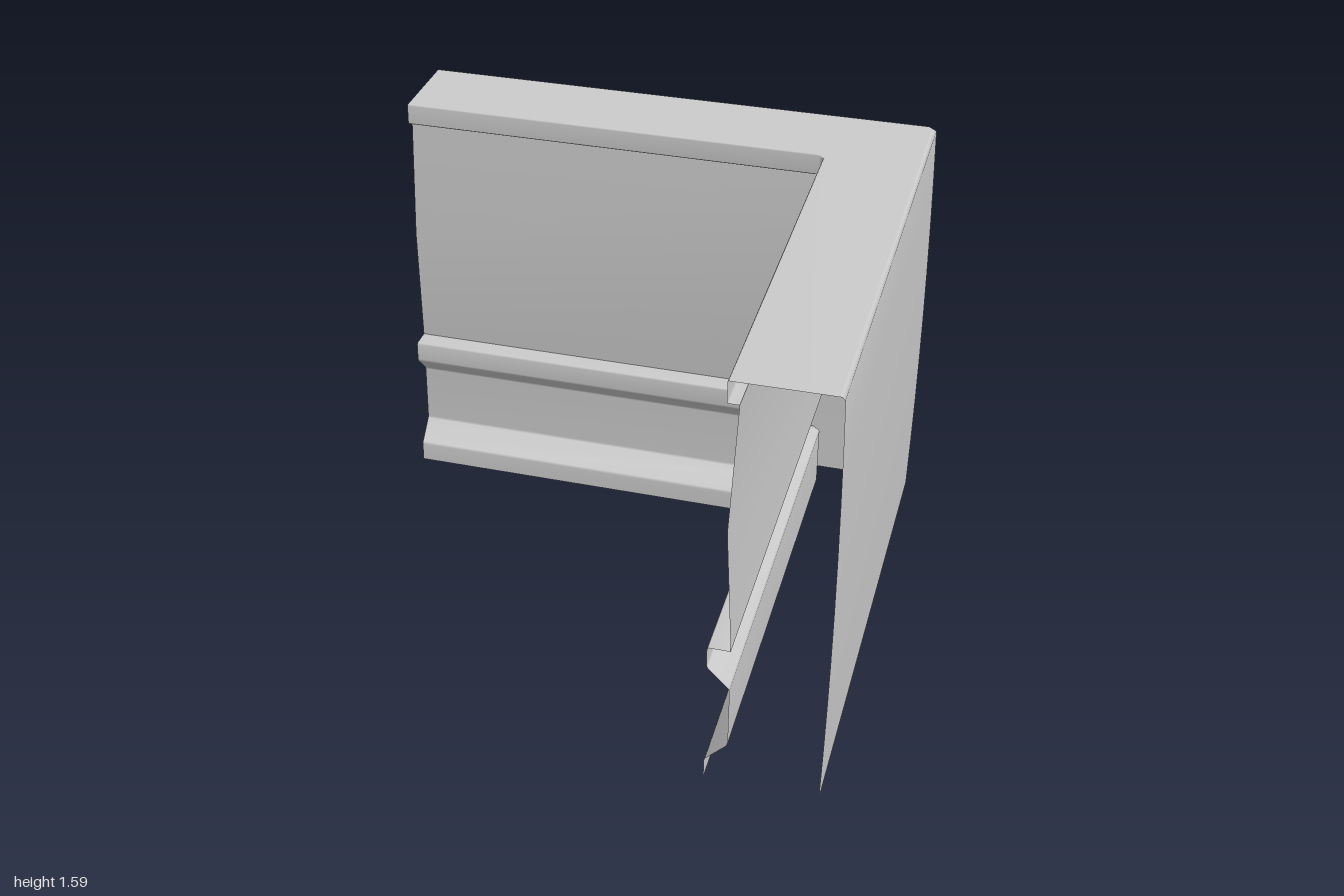
import * as THREE from 'three';

// Outer line of the plan: back arm, small corner chamfer, left arm.
const BACK_END_Z = -0.992, CORNER = { x: 0.972, z: -0.978 }, SIDE_END_X = 0.986, CHAMFER = 0.02;

// Plan positions of a profile point that lies d inside the outer line.
const planAt = (d) => [
  [-1, BACK_END_Z + d],
  [CORNER.x - d - CHAMFER, CORNER.z + d],
  [CORNER.x - d, CORNER.z + d + CHAMFER],
  [SIDE_END_X - d, 1],
];

// Replace every inner corner of a profile with a narrow bevel.
function bevel(points, r) {
  const out = [];
  points.forEach(([d, y], i) => {
    if (i === 0 || i === points.length - 1) return out.push([d, y]);
    for (const [nd, ny] of [points[i - 1], points[i + 1]]) {
      const t = r / Math.hypot(nd - d, ny - y);
      out.push([d + (nd - d) * t, y + (ny - y) * t]);
    }
  });
  return out;
}

// Sweep an open profile of [inset, height] points around the corner.
function sweep(name, profile, material) {
  const pos = [], index = [];
  profile.forEach(([d, y], i) => {
    for (const [x, z] of planAt(d)) pos.push(x, y, z);
    if (i === 0) return;
    for (let j = 0; j < 3; j++) {
      const a = (i - 1) * 4 + j, b = a + 4;
      index.push(a, b, a + 1, b, b + 1, a + 1);
    }
  });
  const geometry = new THREE.BufferGeometry();
  geometry.setAttribute('position', new THREE.Float32BufferAttribute(pos, 3));
  geometry.setIndex(index);
  geometry.computeVertexNormals();
  const mesh = new THREE.Mesh(geometry, material);
  mesh.name = name;
  return mesh;
}

export function createModel() {
  const group = new THREE.Group();
  group.name = 'cornerWall';
  const material = new THREE.MeshStandardMaterial({ color: 0xcccccc, side: THREE.DoubleSide });

  // Slightly bowed outer face
  const outer = [];
  for (let i = 0; i <= 8; i++) {
    const t = i / 8;
    outer.push([-0.04 * 0.25 * 4 * t * (1 - t), 1.58 * t]);
  }
  // Flat top with a turned-down lip
  const cap = [[0, 1.58], [0.01, 1.59], ...bevel([[0.02, 1.59], [0.36, 1.59], [0.36, 1.51], [0.32, 1.51]], 0.004)];
  // Inner face, bowed towards the room
  const inner = [[0.32, 1.51], [0.345, 1.03], [0.32, 0.56]];
  // Stepped moulding along the foot of the inner face
  const base = bevel([
    [0.32, 0.56], [0.4, 0.56], [0.4, 0.48], [0.32, 0.4],
    [0.32, 0.16], [0.4, 0.08], [0.4, 0],
  ], 0.006);

  group.add(
    sweep('outerPanel', [...outer, ...cap.slice(1)], material),
    sweep('innerPanel', inner, material),
    sweep('baseMoulding', base, material),
  );
  return group;
}
